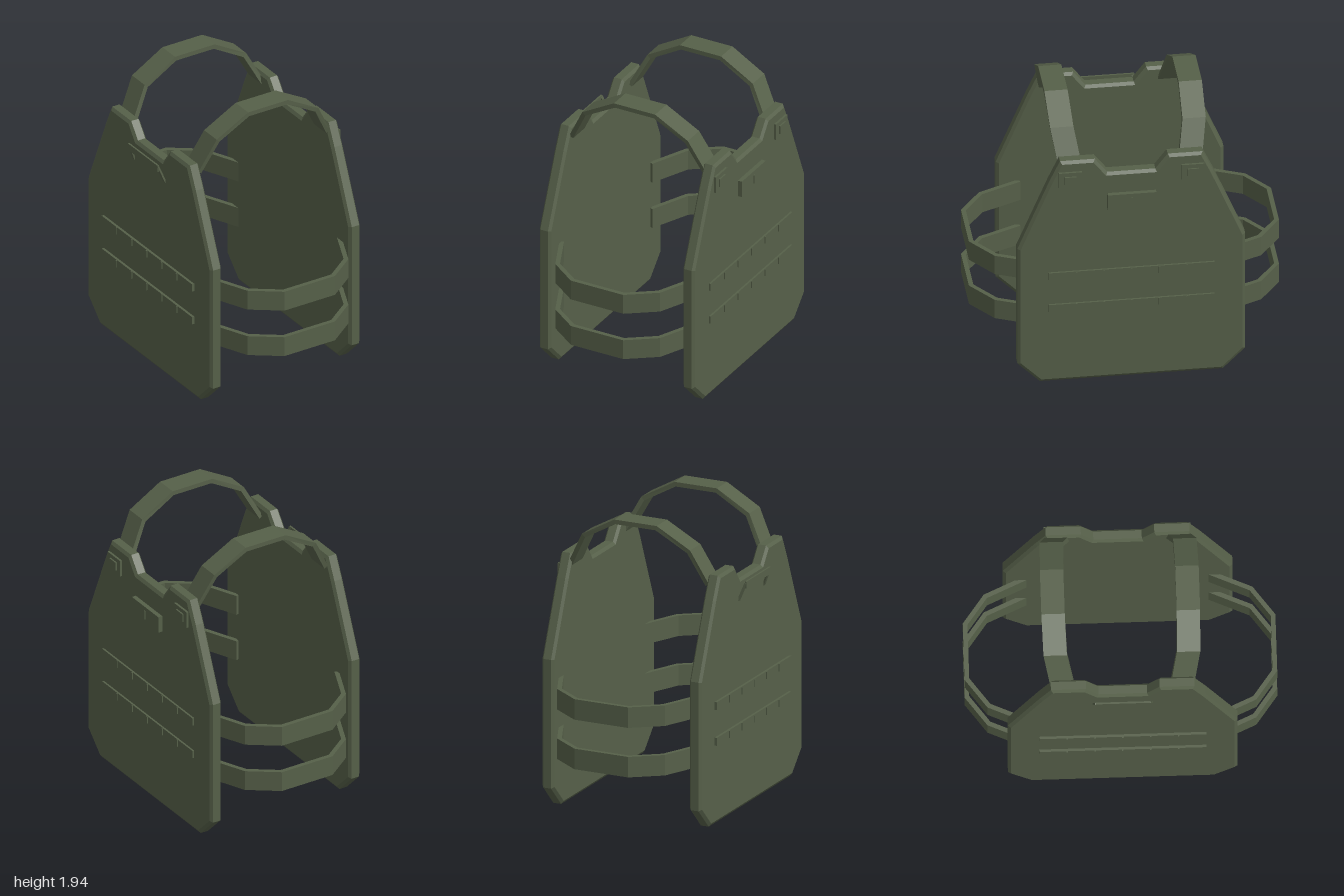
import * as THREE from 'three';

export function createModel() {
  const model = new THREE.Group();
  const olive = new THREE.MeshStandardMaterial({ color: 0x566049 });
  olive.name = 'olive fabric';

  function add(name, geometry, parent = model) {
    const mesh = new THREE.Mesh(geometry, olive);
    mesh.name = name;
    parent.add(mesh);
    return mesh;
  }

  // Box given by its minimum and maximum corners
  function block(name, a, b, parent) {
    const g = new THREE.BoxGeometry(b[0] - a[0], b[1] - a[1], b[2] - a[2]);
    g.translate((a[0] + b[0]) / 2, (a[1] + b[1]) / 2, (a[2] + b[2]) / 2);
    return add(name, g, parent);
  }

  // Band of even thickness around a half path mirrored about x = 0.013
  function bandGeometry(half, thickness, depth) {
    const path = [
      ...half.map(([x, y]) => new THREE.Vector2(0.013 - x, y)),
      ...half.slice().reverse().map(([x, y]) => new THREE.Vector2(0.013 + x, y)),
    ];
    const normal = (a, b) => new THREE.Vector2(a.y - b.y, b.x - a.x).normalize();
    const outer = [], inner = [];
    path.forEach((p, i) => {
      const n1 = normal(path[Math.max(i - 1, 0)], path[Math.max(i, 1)]);
      const n2 = normal(path[Math.min(i, path.length - 2)], path[Math.min(i + 1, path.length - 1)]);
      const m = n1.clone().add(n2).normalize();
      m.multiplyScalar(thickness / 2 / m.dot(n1));
      outer.push(p.clone().add(m));
      inner.push(p.clone().sub(m));
    });
    return new THREE.ExtrudeGeometry(new THREE.Shape([...outer, ...inner.reverse()]), { depth, bevelEnabled: false });
  }

  // Armour plates with chamfered rims
  const side = [[0.59, 0], [0.735, 0.145], [0.735, 1.01], [0.53, 1.5], [0.46, 1.65], [0.235, 1.65], [0.155, 1.545]];
  const outline = new THREE.Shape([
    ...side.map(([z, y]) => new THREE.Vector2(z, y)),
    ...side.slice().reverse().map(([z, y]) => new THREE.Vector2(-z, y)),
  ]);
  const bevel = 0.015;
  for (const [name, x0, x1] of [['leftPlate', 0.488, 0.573], ['rightPlate', -0.565, -0.48]]) {
    const g = new THREE.ExtrudeGeometry(outline, {
      depth: x1 - x0 - 2 * bevel, bevelThickness: bevel, bevelSize: 0.02, bevelOffset: -0.02, bevelSegments: 1,
    });
    g.rotateY(Math.PI / 2).translate(x0 + bevel, 0, 0);
    add(name, g);
  }

  // Shoulder straps, leaning inward toward their ends
  for (const s of [1, -1]) {
    const g = bandGeometry([[0.49, 1.575], [0.375, 1.795], [0.147, 1.923]], 0.03, 0.15);
    g.translate(0, 0, s > 0 ? 0.358 : -0.508);
    const p = g.attributes.position;
    for (let i = 0; i < p.count; i++) {
      p.setZ(i, p.getZ(i) - s * 0.35 * (1.94 - p.getY(i)) ** 2);
    }
    g.computeVertexNormals();
    add(s > 0 ? 'frontShoulderStrap' : 'backShoulderStrap', g);
  }

  // Two waist straps at the front and two at the back
  for (const [y0, y1] of [[0.397, 0.535], [0.73, 0.868]]) {
    for (const s of [1, -1]) {
      const g = bandGeometry([[0.49, 0.585], [0.372, 0.85], [0.187, 0.985]], 0.03, y1 - y0);
      g.rotateX(s * Math.PI / 2).translate(0, s > 0 ? y1 : y0, 0);
      add(s > 0 ? 'frontWaistStrap' : 'backWaistStrap', g);
    }
  }

  // Webbing rows with raised stitch bars on the outer faces
  for (const [x0, x1] of [[0.57, 0.586], [-0.582, -0.56]]) {
    const s = Math.sign(x0);
    for (const y of [0.532, 0.772]) {
      const row = new THREE.Group();
      row.name = 'webbingRow';
      model.add(row);
      block('webbing', [x0, y, -0.535], [x1, y + 0.053, 0.535], row);
      for (let i = -2; i <= 2; i++) {
        const z = i * 0.178;
        const a = s > 0 ? x0 : x0 - 0.007, b = s > 0 ? x1 + 0.006 : x1;
        block('stitchBar', [a, y + 0.002, z - 0.005], [b, y + 0.051, z + 0.005], row);
      }
    }
  }

  // Shoulder patches with raised centres
  for (const z of [-0.395, 0.395]) {
    block('shoulderPatch', [0.57, 1.46, z - 0.075], [0.588, 1.573, z + 0.075]);
    block('shoulderPatchCentre', [0.58, 1.488, z - 0.038], [0.598, 1.545, z + 0.038]);
  }

  // Chest patch with a short upright tab
  block('chestPatch', [0.57, 1.28, -0.157], [0.603, 1.393, 0.157]);
  block('chestPatchTab', [0.6, 1.307, -0.006], [0.61, 1.366, 0.006]);

  // Drag handle: a grip bar on two slanted legs
  const handle = new THREE.Group();
  handle.name = 'dragHandle';
  model.add(handle);
  block('handleGrip', [-0.615, 1.488, -0.175], [-0.603, 1.535, 0.175], handle);
  for (const s of [-1, 1]) {
    const from = new THREE.Vector3(-0.608, 1.525, s * 0.168);
    const to = new THREE.Vector3(-0.562, 1.405, s * 0.182);
    const leg = add('handleLeg', new THREE.BoxGeometry(0.012, from.distanceTo(to), 0.024), handle);
    leg.position.copy(from).lerp(to, 0.5);
    leg.quaternion.setFromUnitVectors(new THREE.Vector3(0, 1, 0), from.clone().sub(to).normalize());
  }

  return model;
}
